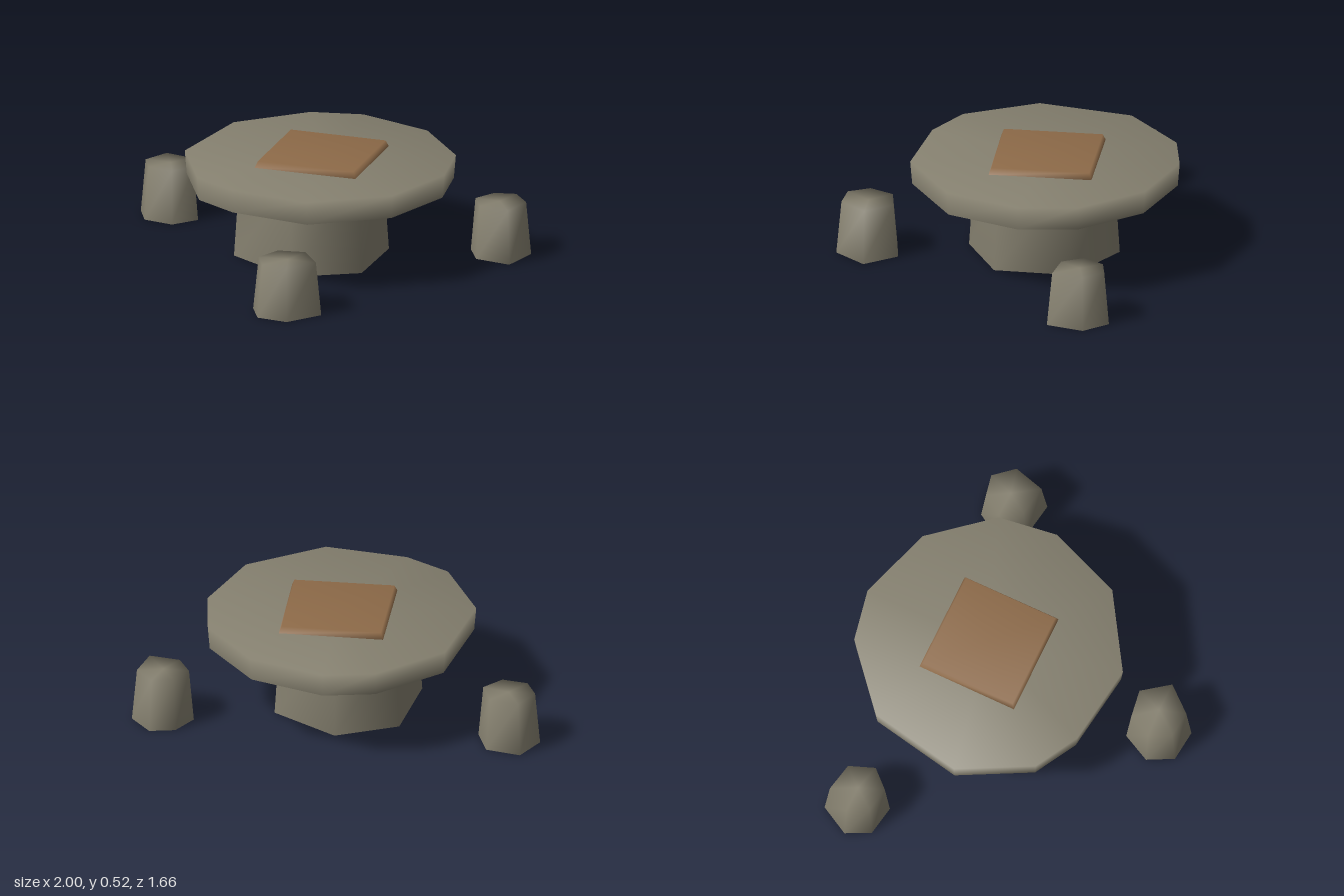
import * as THREE from 'three';

// Hollow tapered prism, open below, over a clockwise (seen from above) outline
// [x, z]; the two rings are scaled about the outline's centre, normals are shared.
function prism(outline, { y0, y1, scale0 = 1, scale1 = 1, top = true }) {
  const n = outline.length;
  const xs = outline.map(p => p[0]), zs = outline.map(p => p[1]);
  const cx = (Math.min(...xs) + Math.max(...xs)) / 2;
  const cz = (Math.min(...zs) + Math.max(...zs)) / 2;
  const pos = [], idx = [];
  for (const [y, s] of [[y0, scale0], [y1, scale1]]) {
    for (const [x, z] of outline) pos.push(cx + (x - cx) * s, y, cz + (z - cz) * s);
  }
  if (top) pos.push(cx, y1, cz);
  for (let i = 0; i < n; i++) {
    const j = (i + 1) % n;
    idx.push(j, i, n + i, j, n + i, n + j);
    if (top) idx.push(2 * n, n + j, n + i);
  }
  const g = new THREE.BufferGeometry();
  g.setAttribute('position', new THREE.Float32BufferAttribute(pos, 3));
  g.setIndex(idx);
  g.computeVertexNormals();
  return g;
}

export function createModel() {
  const group = new THREE.Group();
  const stone = new THREE.MeshStandardMaterial({ color: 0x85806f, side: THREE.DoubleSide });
  stone.name = 'stone';
  const wood = new THREE.MeshStandardMaterial({ color: 0x8d6a48 });
  wood.name = 'wood';

  const add = (name, material, outline, options) => {
    const mesh = new THREE.Mesh(prism(outline, options), material);
    mesh.name = name;
    group.add(mesh);
  };

  // Roughly hewn round table top, a shell slightly narrower at its lower rim
  add('tableTop', stone, [
    [0.02, -0.832], [0.39, -0.712], [0.637, -0.42], [0.678, -0.125],
    [0.537, 0.24], [0.175, 0.47], [-0.23, 0.417], [-0.447, 0.297],
    [-0.632, -0.055], [-0.54, -0.52], [-0.235, -0.782],
  ], { y0: 0.375, y1: 0.492, scale0: 0.985 });

  // Six-sided pedestal reaching up into the table top
  add('pedestal', stone, [
    [0, 0.205], [-0.36, 0], [-0.3, -0.4], [0, -0.535], [0.32, -0.34], [0.31, 0.04],
  ], { y0: 0, y1: 0.46, scale1: 0.92, top: false });

  // Square wooden board lying on the table
  add('board', wood, [
    [-0.225, -0.435], [0.287, -0.435], [0.287, 0.07], [-0.228, 0.075],
  ], { y0: 0.493, y1: 0.525, scale1: 0.95 });

  // Three tapered stone stools
  const stools = {
    rightStool: [[-0.92, -0.615], [-0.75, -0.58], [-0.692, -0.43], [-0.79, -0.325], [-0.94, -0.35], [-1, -0.47]],
    leftStool: [[0.9, -0.605], [1, -0.49], [0.95, -0.307], [0.77, -0.335], [0.7, -0.46], [0.775, -0.58]],
    frontStool: [[0.045, 0.55], [0.205, 0.525], [0.322, 0.68], [0.195, 0.83], [0.04, 0.815], [-0.025, 0.69]],
  };
  for (const [name, outline] of Object.entries(stools)) {
    add(name, stone, outline, { y0: 0, y1: 0.267, scale1: 0.84 });
  }

  return group;
}
